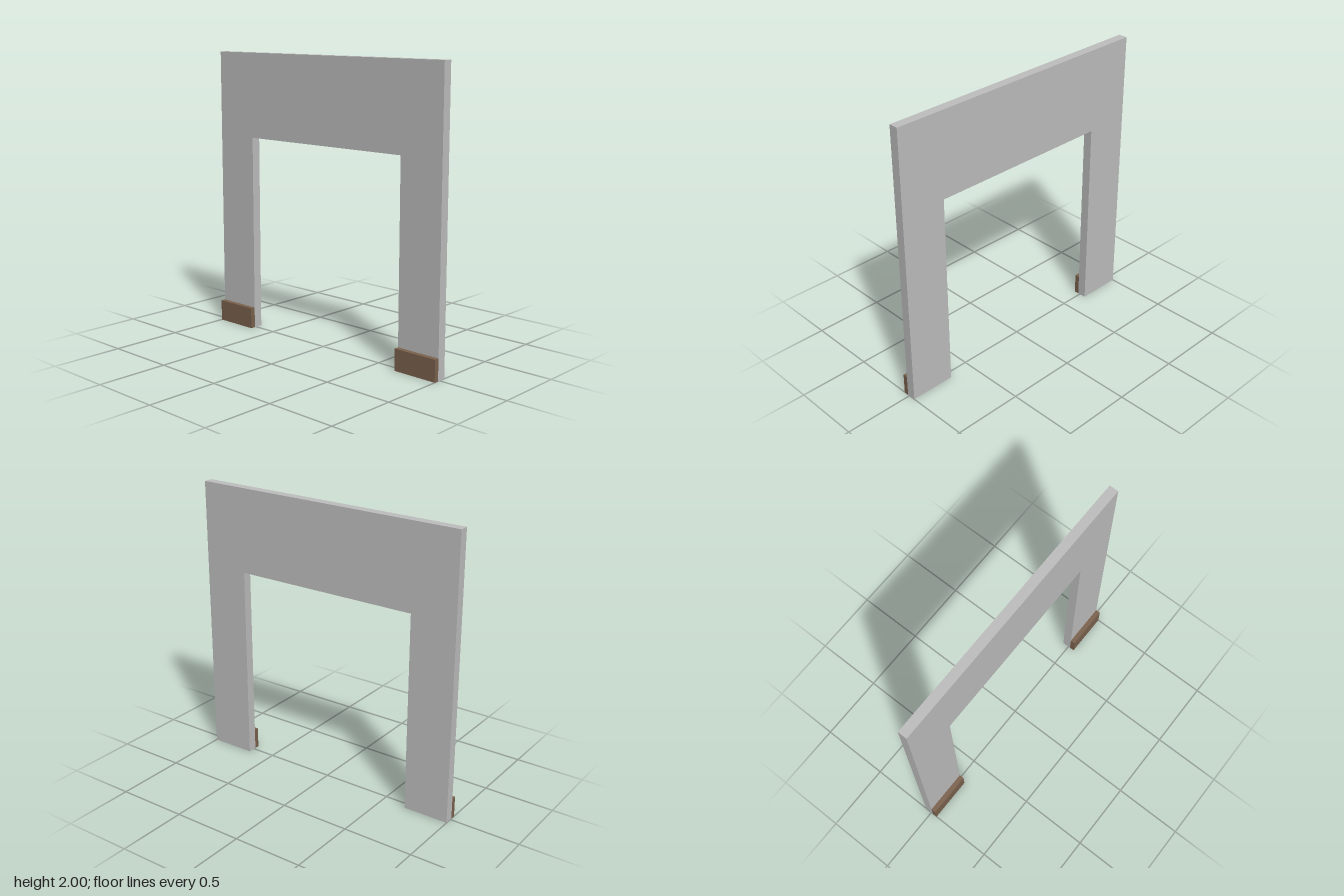
import * as THREE from 'three';

export function createModel() {
  const model = new THREE.Group();
  model.name = 'wallWithDoorway';

  const plaster = new THREE.MeshStandardMaterial({ color: 0xbebebe });
  plaster.name = 'grey plaster';
  const wood = new THREE.MeshStandardMaterial({ color: 0x7b624d });
  wood.name = 'brown wood';

  const openHalf = 0.675, openTop = 1.4;
  const back = -0.05, face = 0.015, front = 0.05;

  // Wall slab with a doorway open to the floor
  const outline = new THREE.Shape([
    [-1, 0], [-openHalf, 0], [-openHalf, openTop], [openHalf, openTop],
    [openHalf, 0], [1, 0], [1, 2], [-1, 2],
  ].map(([x, y]) => new THREE.Vector2(x, y)));
  const wallGeometry = new THREE.ExtrudeGeometry(outline, { depth: face - back, bevelEnabled: false });
  wallGeometry.translate(0, 0, back);
  const wall = new THREE.Mesh(wallGeometry, plaster);
  wall.name = 'wall';
  model.add(wall);

  // Skirting board on the front of each side of the doorway
  const width = 1 - openHalf, height = 0.15;
  for (const [name, side] of [['leftSkirting', 1], ['rightSkirting', -1]]) {
    const board = new THREE.Mesh(new THREE.BoxGeometry(width, height, front - face), wood);
    board.name = name;
    board.position.set(side * (openHalf + width / 2), height / 2, (face + front) / 2);
    model.add(board);
  }

  return model;
}
